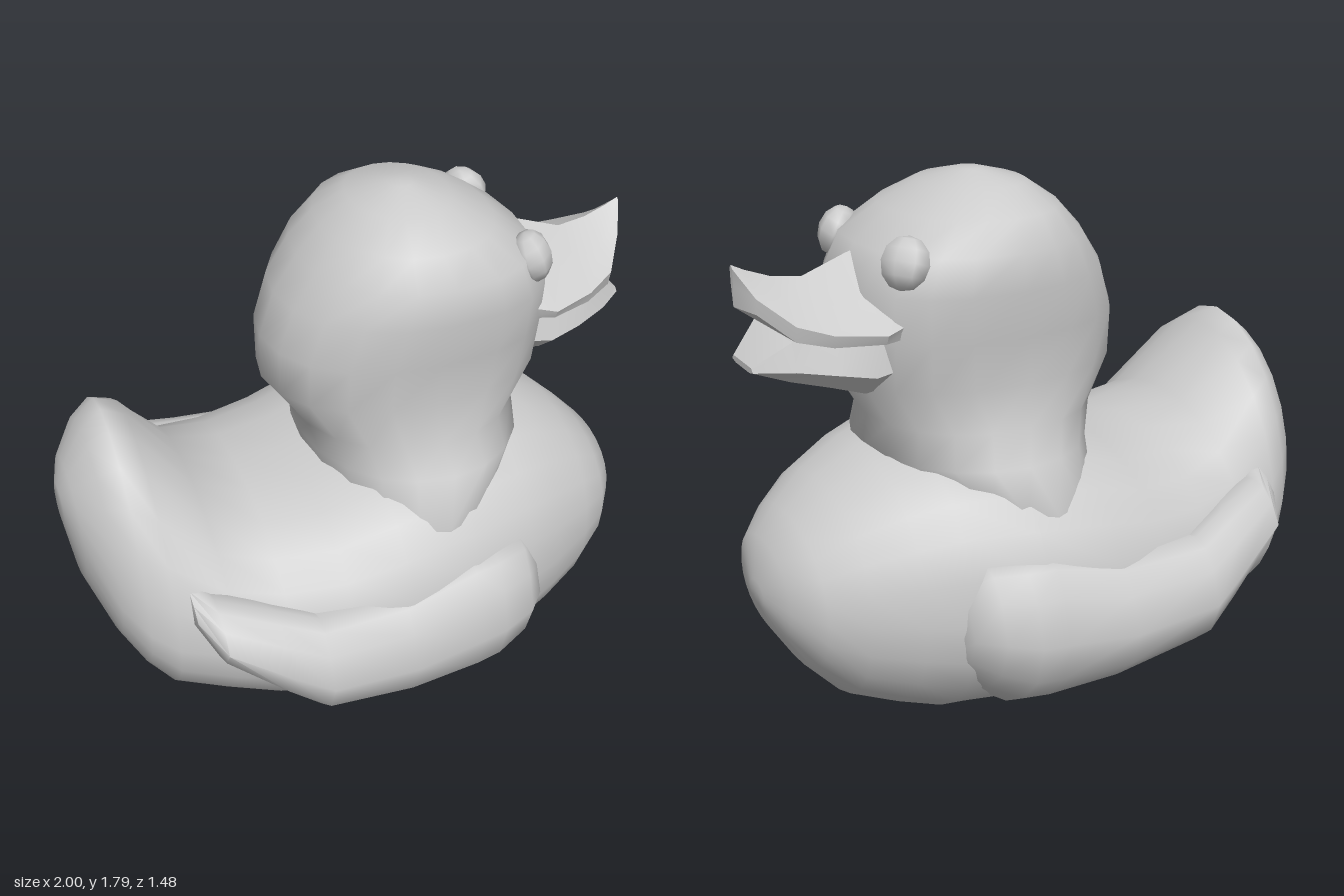
import * as THREE from 'three';
import { toCreasedNormals } from 'three/addons/utils/BufferGeometryUtils.js';

const material = new THREE.MeshStandardMaterial({ color: 0xcccccc });

// Skin a list of closed rings of [x, y, z] points and cap both ends.
function loft(rings, crease) {
  const n = rings[0].length;
  const points = rings.flat();
  const index = [];
  for (let r = 0; r < rings.length - 1; r++) {
    for (let i = 0; i < n; i++) {
      const a = r * n + i, b = r * n + (i + 1) % n;
      index.push(a, b, a + n, b, b + n, a + n);
    }
  }
  const addCap = (start, flip) => {
    const ring = points.slice(start, start + n);
    const centre = points.length;
    points.push([0, 1, 2].map(k => ring.reduce((sum, p) => sum + p[k], 0) / n));
    for (let i = 0; i < n; i++) {
      const a = start + i, b = start + (i + 1) % n;
      index.push(centre, flip ? b : a, flip ? a : b);
    }
  };
  addCap(0, true);
  addCap((rings.length - 1) * n, false);

  // Turn the faces outward when the enclosed volume is negative.
  const v = points.map(p => new THREE.Vector3(...p));
  let volume = 0;
  for (let i = 0; i < index.length; i += 3) {
    volume += v[index[i]].dot(v[index[i + 1]].clone().cross(v[index[i + 2]]));
  }
  if (volume < 0) index.reverse();

  const geometry = new THREE.BufferGeometry().setFromPoints(v);
  geometry.setIndex(index);
  geometry.computeVertexNormals();
  return crease ? toCreasedNormals(geometry, crease) : geometry;
}

// Rounded closed curve as [cos, sin] pairs; a power above 2 makes that half fuller.
function roundLoop(count, power, isFull, fullPower) {
  const bend = (t, p) => Math.sign(t) * Math.abs(t) ** (2 / p);
  return Array.from({ length: count }, (_, i) => {
    const a = (i / count) * Math.PI * 2;
    const c = Math.cos(a), s = Math.sin(a);
    const p = isFull(c, s) ? fullPower : power;
    return [bend(c, p), bend(s, p)];
  });
}

function part(name, geometry) {
  const mesh = new THREE.Mesh(geometry, material);
  mesh.name = name;
  return mesh;
}

// Body and raised tail: x, bottom, top, half width, height of widest point, fullness of the back
function makeBody() {
  const stations = [
    [-1.0, 0.78, 0.92, 0.07, 0.85, 2], [-0.97, 0.58, 1.0, 0.2, 0.78, 2],
    [-0.9, 0.4, 1.12, 0.36, 0.65, 1.9], [-0.83, 0.27, 1.18, 0.43, 0.57, 1.9],
    [-0.75, 0.17, 1.14, 0.48, 0.52, 1.9], [-0.58, 0.1, 0.92, 0.53, 0.48, 2],
    [-0.4, 0.03, 0.86, 0.58, 0.46, 2.2], [-0.2, 0.015, 0.87, 0.62, 0.45, 2.35],
    [0, 0.005, 0.94, 0.645, 0.45, 2.4], [0.25, 0, 0.97, 0.62, 0.46, 2.4],
    [0.48, 0.005, 0.97, 0.55, 0.47, 2.3], [0.62, 0.05, 0.93, 0.49, 0.48, 2.2],
    [0.77, 0.11, 0.85, 0.41, 0.49, 2.15], [0.88, 0.23, 0.75, 0.33, 0.49, 2.15],
    [0.96, 0.36, 0.67, 0.22, 0.5, 2.15], [0.99, 0.45, 0.53, 0.06, 0.49, 2.15],
  ];
  return loft(stations.map(([x, bottom, top, w, mid, full]) =>
    roundLoop(24, 2.15, (c, s) => s > 0.001, full)
      .map(([c, s]) => [x, mid + s * (s > 0 ? top - mid : mid - bottom), c * w])));
}

// Neck and head: height, back x, front x, half width, fullness of the face
function makeHead() {
  const levels = [
    [0.62, -0.08, 0.36, 0.48, 2], [0.78, -0.14, 0.48, 0.53, 2], [0.92, -0.16, 0.6, 0.44, 2],
    [1.03, -0.19, 0.58, 0.395, 2.1], [1.17, -0.29, 0.66, 0.365, 2.4], [1.33, -0.29, 0.66, 0.385, 2.6],
    [1.48, -0.24, 0.66, 0.4, 2.6], [1.6, -0.16, 0.6, 0.395, 2.5], [1.69, -0.08, 0.48, 0.325, 2.2],
    [1.76, 0.02, 0.35, 0.2, 2.1], [1.795, 0.15, 0.23, 0.05, 2.1],
  ];
  return loft(levels.map(([y, back, front, w, full]) =>
    roundLoop(20, 2.1, c => c > 0.001, full)
      .map(([c, s]) => [(back + front) / 2 + c * (front - back) / 2, y, s * w])));
}

// Upper beak: x, half width, ridge height, edge height, underside height
function makeUpperBeak() {
  const stations = [
    [0.52, 0.26, 1.6, 1.4, 1.36], [0.63, 0.3, 1.57, 1.38, 1.37], [0.78, 0.25, 1.515, 1.39, 1.37],
    [0.88, 0.2, 1.53, 1.42, 1.38], [0.96, 0.09, 1.56, 1.49, 1.42], [1.0, 0.01, 1.58, 1.57, 1.45],
  ];
  return loft(stations.map(([x, w, top, edge, under]) => {
    const shoulder = edge + (top - edge) * 0.45;
    const lip = Math.max(edge - 0.05, under - 0.02);
    return [[x, top, 0], [x, shoulder, w * 0.55], [x, edge, w], [x, lip, w * 0.95],
      [x, under, 0], [x, lip, -w * 0.95], [x, edge, -w], [x, shoulder, -w * 0.55]];
  }), 0.6);
}

// Lower beak: x, half width, top height, bottom height
function makeLowerBeak() {
  const stations = [
    [0.52, 0.22, 1.38, 1.17], [0.65, 0.25, 1.375, 1.16], [0.76, 0.23, 1.37, 1.195],
    [0.88, 0.18, 1.36, 1.225], [0.985, 0.09, 1.275, 1.255],
  ];
  return loft(stations.map(([x, w, top, bottom]) => {
    const side = bottom + (top - bottom) * 0.35;
    return [[x, top, w * 0.85], [x, side, w], [x, bottom, w * 0.65],
      [x, bottom, -w * 0.65], [x, side, -w], [x, top, -w * 0.85]];
  }), 0.6);
}

// Folded wing: x, bottom, top, outer distance from the middle
function makeWing(side) {
  const stations = [
    [-0.7, 0.58, 0.74, 0.53], [-0.635, 0.46, 0.72, 0.64], [-0.45, 0.28, 0.66, 0.695],
    [-0.32, 0.19, 0.62, 0.74], [-0.02, 0.13, 0.61, 0.725], [0.23, 0.11, 0.67, 0.705],
    [0.32, 0.115, 0.67, 0.69], [0.43, 0.18, 0.67, 0.66], [0.5, 0.25, 0.6, 0.58],
    [0.515, 0.3, 0.55, 0.53],
  ];
  // fraction of height, inset from the outer face
  const section = [[0, 0.24], [0.12, 0.13], [0.3, 0.04], [0.55, 0], [0.8, 0.04],
    [0.95, 0.09], [1, 0.14], [0.9, 0.3], [0.1, 0.36]];
  return loft(stations.map(([x, bottom, top, out]) =>
    section.map(([f, inset]) => [x, bottom + f * (top - bottom), side * (out - inset)])), 1.1);
}

export function createModel() {
  const duck = new THREE.Group();
  duck.name = 'duck';
  duck.add(
    part('body', makeBody()),
    part('head', makeHead()),
    part('upperBeak', makeUpperBeak()),
    part('lowerBeak', makeLowerBeak()),
  );
  // Wings and slightly flattened eyes on both sides
  for (const side of [-1, 1]) {
    const suffix = side > 0 ? 'Near' : 'Far';
    duck.add(part('wing' + suffix, makeWing(side)));
    const eye = part('eye' + suffix, new THREE.SphereGeometry(0.085, 8, 6));
    eye.scale.z = 0.75;
    eye.position.set(0.545, 1.58, side * 0.25);
    eye.lookAt(1.3, 1.95, side * 0.75);
    duck.add(eye);
  }
  return duck;
}
